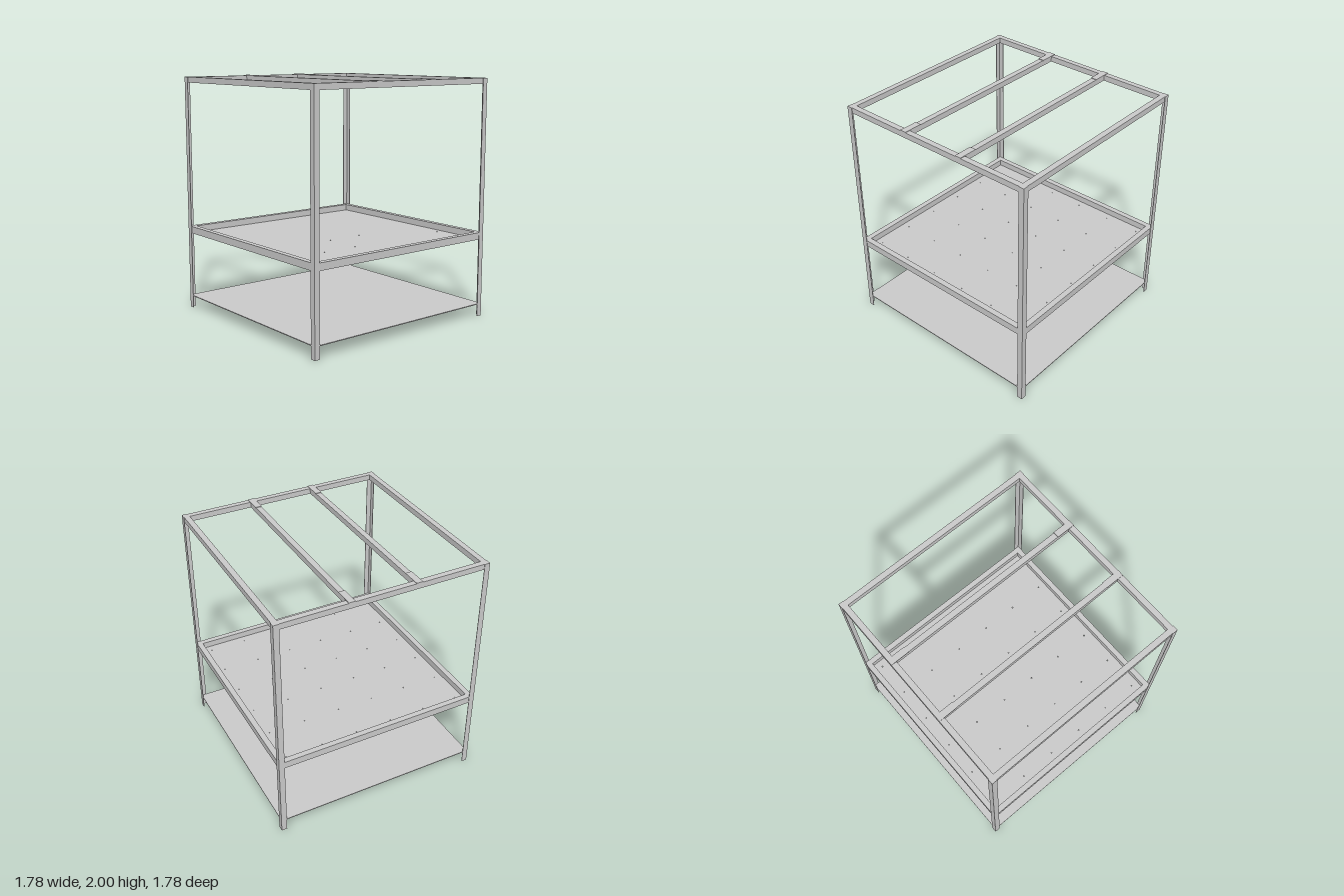
import * as THREE from 'three';

export function createModel() {
  const model = new THREE.Group();
  const material = new THREE.MeshStandardMaterial({ color: 0xcccccc, flatShading: true });

  const OUT = 0.888;   // outer face of the angle legs
  const SKIN = 0.004;  // thickness of the angle legs
  const LEG = 0.047;   // flange width
  const TUBE = 0.047;  // rail width
  const R = OUT - SKIN; // outer face of the rails

  const add = (name, geometry, parent = model) => {
    const mesh = new THREE.Mesh(geometry, material);
    mesh.name = name;
    parent.add(mesh);
    return mesh;
  };

  // box given by its limits on each axis
  const box = (name, x0, x1, y0, y1, z0, z1, parent) =>
    add(name, new THREE.BoxGeometry(x1 - x0, y1 - y0, z1 - z0), parent)
      .position.set((x0 + x1) / 2, (y0 + y1) / 2, (z0 + z1) / 2);

  // four angle-section legs, each turned a quarter from the last
  const section = new THREE.Shape();
  [[0, 0], [LEG, 0], [LEG, SKIN], [SKIN, SKIN], [SKIN, LEG], [0, LEG]].forEach(([x, y], i) =>
    i ? section.lineTo(x, y) : section.moveTo(x, y));
  const legGeometry = new THREE.ExtrudeGeometry(section, { depth: 1.995, bevelEnabled: false });
  legGeometry.rotateX(-Math.PI / 2).translate(-OUT, 0, OUT);
  for (let i = 0; i < 4; i++) add('leg', legGeometry).rotation.y = i * Math.PI / 2;

  // square frame: side rails run full depth, front and back rails fit between
  function frame(name, y0, y1) {
    const group = new THREE.Group();
    group.name = name;
    model.add(group);
    const inner = R - TUBE;
    box('leftRail', inner, R, y0, y1, -R, R, group);
    box('rightRail', -R, -inner, y0, y1, -R, R, group);
    box('frontRail', -inner, inner, y0, y1, inner, R, group);
    box('backRail', -inner, inner, y0, y1, -R, -inner, group);
  }
  frame('topFrame', 1.948, 1.995);
  frame('middleFrame', 0.667, 0.72);

  // two cross bars with thin fixing straps lapped over the side rails
  for (const z of [-0.278, 0.276]) {
    box('crossBar', -(R - TUBE), R - TUBE, 1.948, 1.995, z - 0.0235, z + 0.0235);
    for (const s of [-1, 1]) {
      const a = s * 0.725, b = s * 0.884;
      box('crossBarStrap', Math.min(a, b), Math.max(a, b), 1.995, 2, z - 0.027, z + 0.027);
    }
  }

  // middle shelf plate, pierced by a grid of small holes
  const plate = new THREE.Shape();
  plate.moveTo(-R, -R).lineTo(R, -R).lineTo(R, R).lineTo(-R, R).closePath();
  for (let i = 0; i < 6; i++) {
    for (let j = 0; j < 6; j++) {
      const hole = new THREE.Path();
      hole.absarc(-0.78 + 0.3105 * i, 0.78 - 0.3105 * j, 0.004, 0, Math.PI * 2, true);
      plate.holes.push(hole);
    }
  }
  const shelf = new THREE.ExtrudeGeometry(plate, { depth: 0.006, bevelEnabled: false, curveSegments: 8 });
  shelf.rotateX(-Math.PI / 2).translate(0, 0.661, 0);
  add('middleShelf', shelf);

  // plain lower shelf
  box('lowerShelf', -R, R, 0.1, 0.107, -R, R);

  return model;
}
